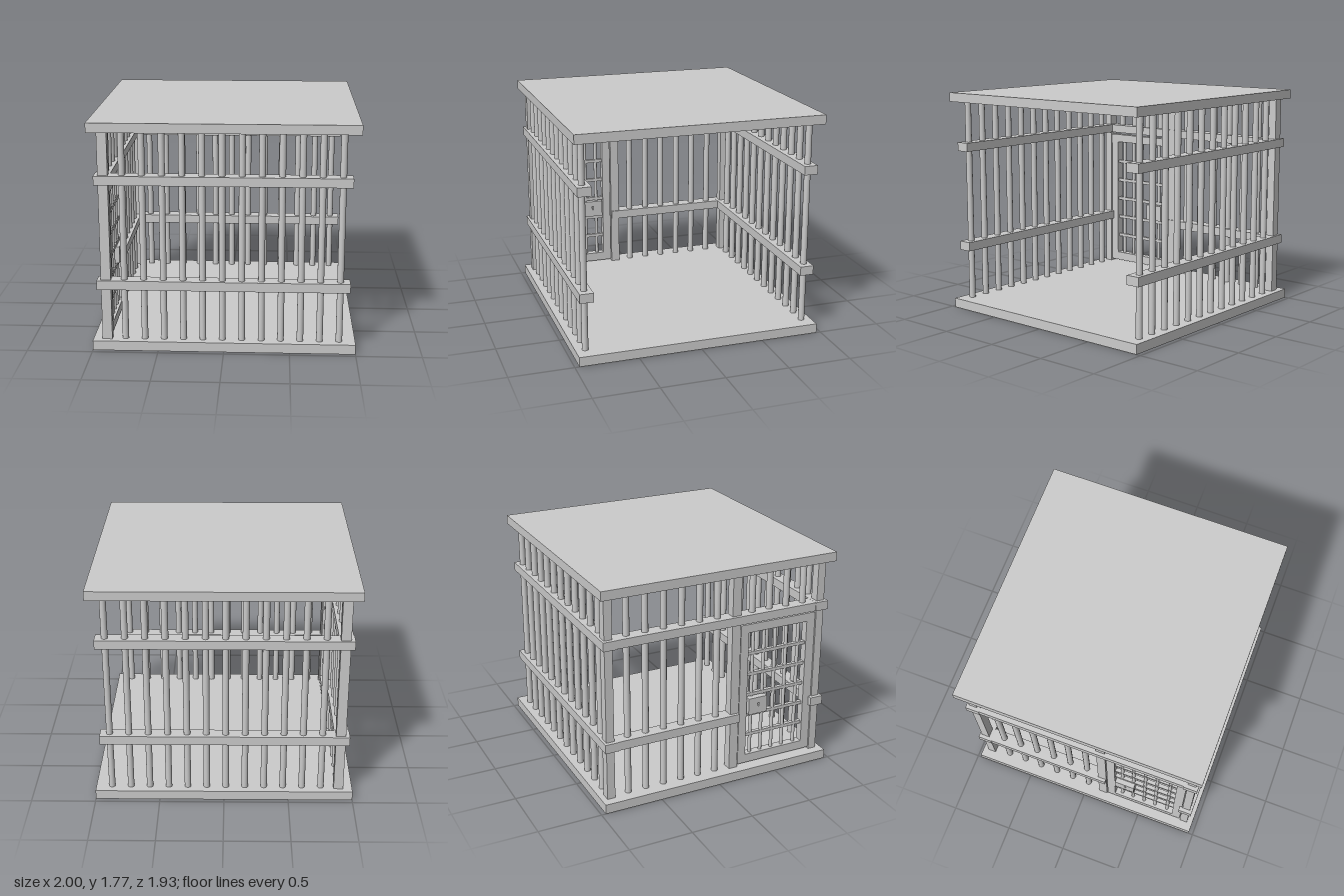
import * as THREE from 'three';

const material = new THREE.MeshStandardMaterial({ color: 0xcccccc });

export function createModel() {
  const model = new THREE.Group();
  model.name = 'cage';

  const add = (parent, name, geometry) => {
    const mesh = new THREE.Mesh(geometry, material);
    mesh.name = name;
    parent.add(mesh);
    return mesh;
  };
  // Box given by its low and high corners
  const box = (parent, name, x0, x1, y0, y1, z0, z1) =>
    add(parent, name, new THREE.BoxGeometry(x1 - x0, y1 - y0, z1 - z0))
      .position.set((x0 + x1) / 2, (y0 + y1) / 2, (z0 + z1) / 2);
  // Upright round bar
  const bar = (parent, name, x, z, y0, y1, r) =>
    add(parent, name, new THREE.CylinderGeometry(r, r, y1 - y0, 16))
      .position.set(x, (y0 + y1) / 2, z);
  const group = (name) => {
    const g = new THREE.Group();
    g.name = name;
    model.add(g);
    return g;
  };

  const floorTop = 0.075, roofBottom = 1.695, wallX = -0.892, wallZ = 0.888;
  const barRadius = 0.025, spacing = 0.1483;
  const railHeights = [[0.48, 0.552], [1.295, 1.365]];

  // Floor and roof slabs
  box(model, 'floor', -1, 1, 0, floorTop, -0.965, 0.965);
  box(model, 'roof', -1, 1, roofBottom, 1.767, -0.965, 0.965);

  // Matching front and back barred walls; the +x side stays open
  for (const [name, s] of [['frontWall', 1], ['backWall', -1]]) {
    const wall = group(name);
    for (let i = 0; i < 12; i++) {
      bar(wall, 'bar', -0.755 + i * spacing, s * wallZ, floorTop, roofBottom, barRadius);
    }
    for (const [y0, y1] of railHeights) {
      const z = s * 0.885;
      box(wall, 'rail', -0.96, 0.95, y0, y1, z - 0.054, z + 0.054);
    }
    box(wall, 'cornerPost', -0.93, -0.855, floorTop, roofBottom, s * wallZ - 0.032, s * wallZ + 0.032);
  }

  // Door-side wall: short bars above the door, full bars beside it
  const side = group('doorWall');
  for (let i = 0; i < 11; i++) {
    const z = 0.747 - i * 0.148;
    const overDoor = i < 5;
    bar(side, 'bar', i === 4 ? -0.876 : wallX, z, overDoor ? 1.3 : floorTop, roofBottom, barRadius);
  }
  box(side, 'doorPost', -0.93, -0.855, floorTop, roofBottom, 0.118, 0.19);
  box(side, 'lowerRail', -0.955, -0.845, 0.481, 0.551, -0.932, 0.186);
  box(side, 'upperRail', -0.955, -0.845, 1.296, 1.364, -0.932, 0.935);

  // Door frame, drawn in (z, y) and extruded along x
  const door = group('door');
  const zyPlate = (name, shape, x0, x1) => {
    const geometry = new THREE.ExtrudeGeometry(shape, { depth: x1 - x0, bevelEnabled: false, curveSegments: 8 });
    geometry.rotateY(-Math.PI / 2);
    add(door, name, geometry).position.x = x1;
  };
  const rectangle = (Type, z0, z1, y0, y1, r) => {
    const p = new Type();
    p.moveTo(z0 + r, y0);
    p.lineTo(z1 - r, y0);
    p.quadraticCurveTo(z1, y0, z1, y0 + r);
    p.lineTo(z1, y1 - r);
    p.quadraticCurveTo(z1, y1, z1 - r, y1);
    p.lineTo(z0 + r, y1);
    p.quadraticCurveTo(z0, y1, z0, y1 - r);
    p.lineTo(z0, y0 + r);
    p.quadraticCurveTo(z0, y0, z0 + r, y0);
    return p;
  };
  const frame = rectangle(THREE.Shape, 0.197, 0.85, 0.093, 1.275, 0.01);
  frame.holes.push(rectangle(THREE.Path, 0.264, 0.778, 0.165, 1.207, 0.002));
  zyPlate('doorFrame', frame, -0.925, -0.862);

  // Door grille
  for (const z of [0.722, 0.614, 0.516, 0.416, 0.32]) {
    bar(door, 'grilleBar', wallX, z, 0.155, 1.217, 0.014);
  }
  for (let i = 0; i < 5; i++) {
    const y = 0.33 + i * 0.1735;
    box(door, 'grilleStrip', -0.907, -0.877, y - 0.013, y + 0.013, 0.255, 0.787);
  }

  // Lock plate with a keyhole through it
  const lock = rectangle(THREE.Shape, 0.273, 0.435, 0.52, 0.657, 0.003);
  const keyhole = new THREE.Path();
  keyhole.absarc(0.36, 0.603, 0.009, -Math.PI / 3, Math.PI * 4 / 3, false);
  keyhole.lineTo(0.355, 0.58);
  keyhole.lineTo(0.365, 0.58);
  lock.holes.push(keyhole);
  zyPlate('lock', lock, -0.945, -0.855);

  return model;
}
